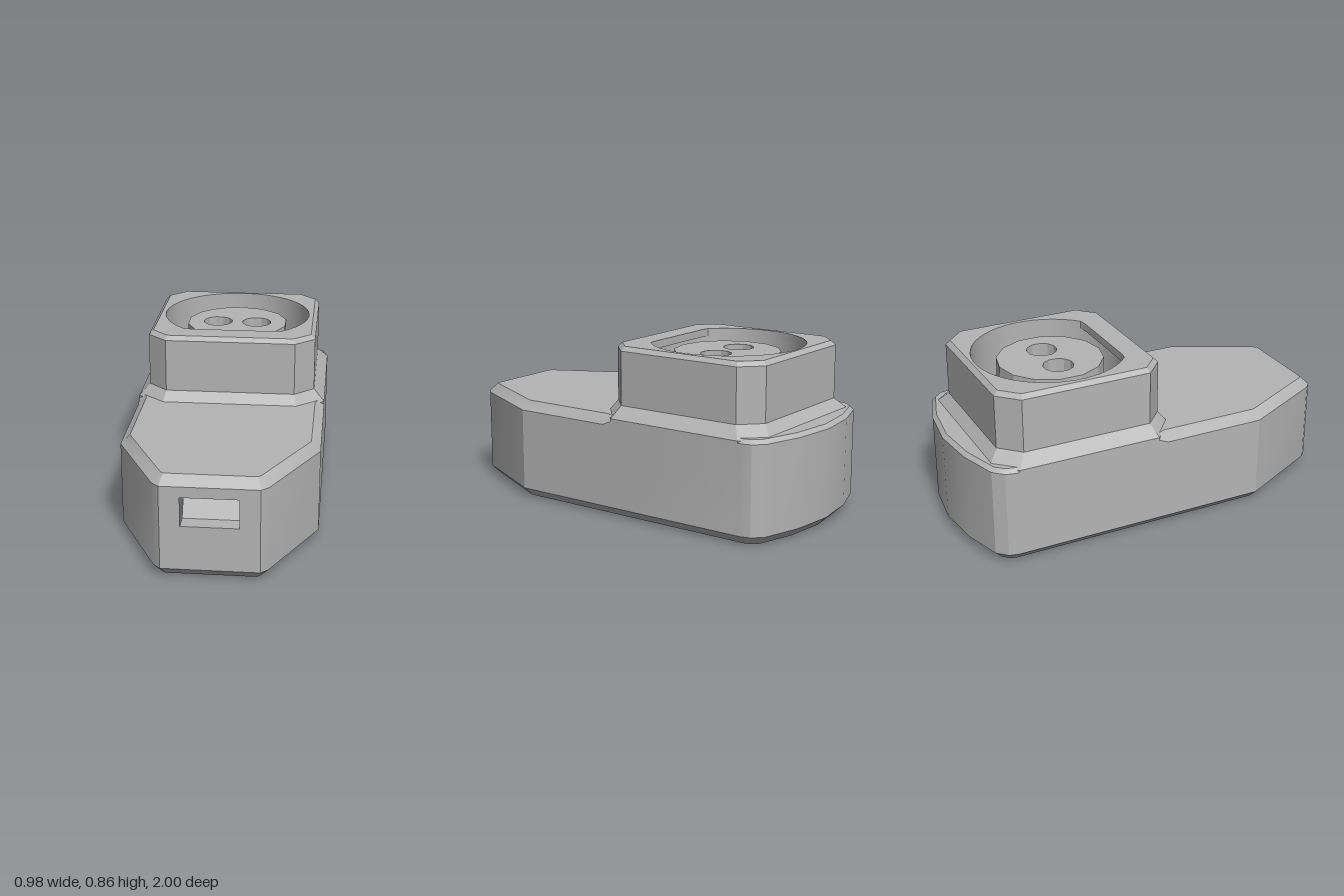
import * as THREE from 'three';
import { toCreasedNormals } from 'three/addons/utils/BufferGeometryUtils.js';

// Outlines are lists of [x, z], running from the front along +x to the back and round along -x.
const mirrored = half => [...half, ...half.filter(p => p[0] > 0).reverse().map(([x, z]) => [-x, z])];

const circle = (cx, cz, r, n) => Array.from({ length: n }, (_, i) => {
  const a = (i + 0.5) / n * Math.PI * 2;
  return [cx + r * Math.cos(a), cz - r * Math.sin(a)];
});

// Move each corner inwards by d (a number, or a function of the point)
function inset(pts, d) {
  const n = pts.length;
  const normal = (a, b) => {
    const l = Math.hypot(b[0] - a[0], b[1] - a[1]);
    return [-(b[1] - a[1]) / l, (b[0] - a[0]) / l];
  };
  return pts.map((p, i) => {
    const u = normal(pts[(i + n - 1) % n], p), v = normal(p, pts[(i + 1) % n]);
    const k = (typeof d === 'function' ? d(p) : d) / (1 + u[0] * v[0] + u[1] * v[1]);
    return [p[0] - (u[0] + v[0]) * k, p[1] - (u[1] + v[1]) * k];
  });
}

const ring = (pts, y) => pts.map((p, i) => [p[0], typeof y === 'function' ? y(i) : y, p[1]]);

// Walls between stacked rings; reversed outlines face inwards
function walls(rings, skip = () => false) {
  const pos = [];
  for (let k = 0; k < rings.length - 1; k++) {
    const lo = rings[k], hi = rings[k + 1], n = lo.length;
    for (let i = 0; i < n; i++) {
      if (skip(k, i)) continue;
      const j = (i + 1) % n;
      pos.push(...lo[i], ...lo[j], ...hi[j], ...lo[i], ...hi[j], ...hi[i]);
    }
  }
  const g = new THREE.BufferGeometry();
  g.setAttribute('position', new THREE.Float32BufferAttribute(pos, 3));
  return toCreasedNormals(g, 0.4);
}

function cap(pts, y, holes = [], up = true) {
  const s = up ? -1 : 1;
  const vec = list => list.map(([x, z]) => new THREE.Vector2(x, s * z));
  const shape = new THREE.Shape(vec(pts));
  holes.forEach(h => shape.holes.push(new THREE.Path(vec(h))));
  return new THREE.ShapeGeometry(shape).rotateX(s * Math.PI / 2).translate(0, y, 0);
}

export function createModel() {
  const model = new THREE.Group();
  const grey = new THREE.MeshStandardMaterial({ color: 0xb4b4b4 });
  grey.name = 'plain grey';
  const part = (name, ...geos) => {
    const group = new THREE.Group();
    group.name = name;
    geos.forEach(g => group.add(new THREE.Mesh(g, grey)));
    model.add(group);
  };
  const bore = (pts, y0, y1) => walls([ring([...pts].reverse(), y0), ring([...pts].reverse(), y1)]);

  // Body: tapered front, bowed back, chamfered top and bottom
  const body = mirrored([
    [0.235, 1], [0.27, 0.967], [0.49, 0.53], [0.49, 0], [0.49, -0.06], [0.49, -0.81],
    [0.478, -0.86], [0.43, -0.91], [0.23, -0.973], [0, -1],
  ]);
  const topChamfer = p => (p[1] >= 0 ? 0.046 : 0.02);
  const bottom = inset(body, 0.047), top = inset(body, topChamfer);
  const screwHoles = [circle(0, -0.09, 0.08, 16), circle(0, -0.69, 0.045, 16)];
  part('body',
    walls([
      ring(bottom, 0), ring(body, 0.047),
      ring(body, i => 0.515 - topChamfer(body[i])), ring(top, 0.515),
    ], (k, i) => k === 1 && i === body.length - 1),
    cap(bottom, 0, screwHoles, false),
    cap(top, 0.515));
  screwHoles.forEach(h => part('screwHole', bore(h, 0, 0.4), cap(h, 0.4, [], false)));

  // Front wall with the rectangular port
  const port = [[-0.138, 0.27], [0.138, 0.27], [0.138, 0.415], [-0.138, 0.415]];
  const toVec = list => list.map(([x, y]) => new THREE.Vector2(x, y));
  const front = new THREE.Shape(toVec([[-0.235, 0.047], [0.235, 0.047], [0.235, 0.469], [-0.235, 0.469]]));
  front.holes.push(new THREE.Path(toVec(port)));
  part('frontWall', new THREE.ShapeGeometry(front).translate(0, 0, 1));

  // Port lining: floor, ramp, shelf, back and roof, then the two cheeks
  const profile = [[1, 0.27], [0.915, 0.27], [0.86, 0.365], [0.7, 0.365], [0.7, 0.415], [1, 0.415]];
  const lining = [];
  for (let i = 0; i < profile.length - 1; i++) {
    const [z0, y0] = profile[i], [z1, y1] = profile[i + 1];
    const a = [-0.138, y0, z0], b = [0.138, y0, z0], c = [0.138, y1, z1], d = [-0.138, y1, z1];
    lining.push(...a, ...b, ...c, ...a, ...c, ...d);
  }
  const liningGeo = new THREE.BufferGeometry();
  liningGeo.setAttribute('position', new THREE.Float32BufferAttribute(lining, 3));
  liningGeo.computeVertexNormals();
  const cheek = sx => new THREE.ShapeGeometry(new THREE.Shape(toVec(profile.map(([z, y]) => [sx * z, y]))))
    .rotateY(-sx * Math.PI / 2).translate(-sx * 0.138, 0, 0);
  part('port', liningGeo, cheek(1), cheek(-1));

  // Sloping collar under the socket housing
  const collar = mirrored([[0.35, 0.07], [0.49, -0.05], [0.49, -0.79], [0.39, -0.9]]);
  const housing = mirrored([[0.335, 0.02], [0.435, -0.075], [0.435, -0.745], [0.335, -0.845]]);
  part('collar', walls([ring(collar, 0.45), ring(collar, 0.505), ring(housing, 0.565)]));

  // Socket housing with a round well and a straight lip along its front
  const well = circle(0, -0.42, 0.39, 48);
  const lipZ = -0.12;
  const mouth = well.map(([x, z]) => [x, Math.min(z, lipZ)]);
  const lip = circle(0, -0.42, 0.39, 48).filter(p => p[1] >= lipZ);
  const rim = inset(housing, 0.022);
  part('socketHousing',
    walls([ring(housing, 0.565), ring(housing, 0.838), ring(rim, 0.86)]),
    cap(rim, 0.86, [mouth]));
  part('socketWell', bore(well, 0.6, 0.82), bore(mouth, 0.82, 0.86), cap(well, 0.6));
  part('wellLip', cap(lip, 0.82, [], false));

  // Centre post with two pin holes
  const post = circle(0, -0.415, 0.27, 14);
  const pins = [-0.105, 0.105].map(x => circle(x, -0.415, 0.078, 12));
  part('post', walls([ring(post, 0.6), ring(post, 0.815)]), cap(post, 0.815, pins));
  pins.forEach(p => part('pinHole', bore(p, 0.61, 0.815), cap(p, 0.61)));

  return model;
}
